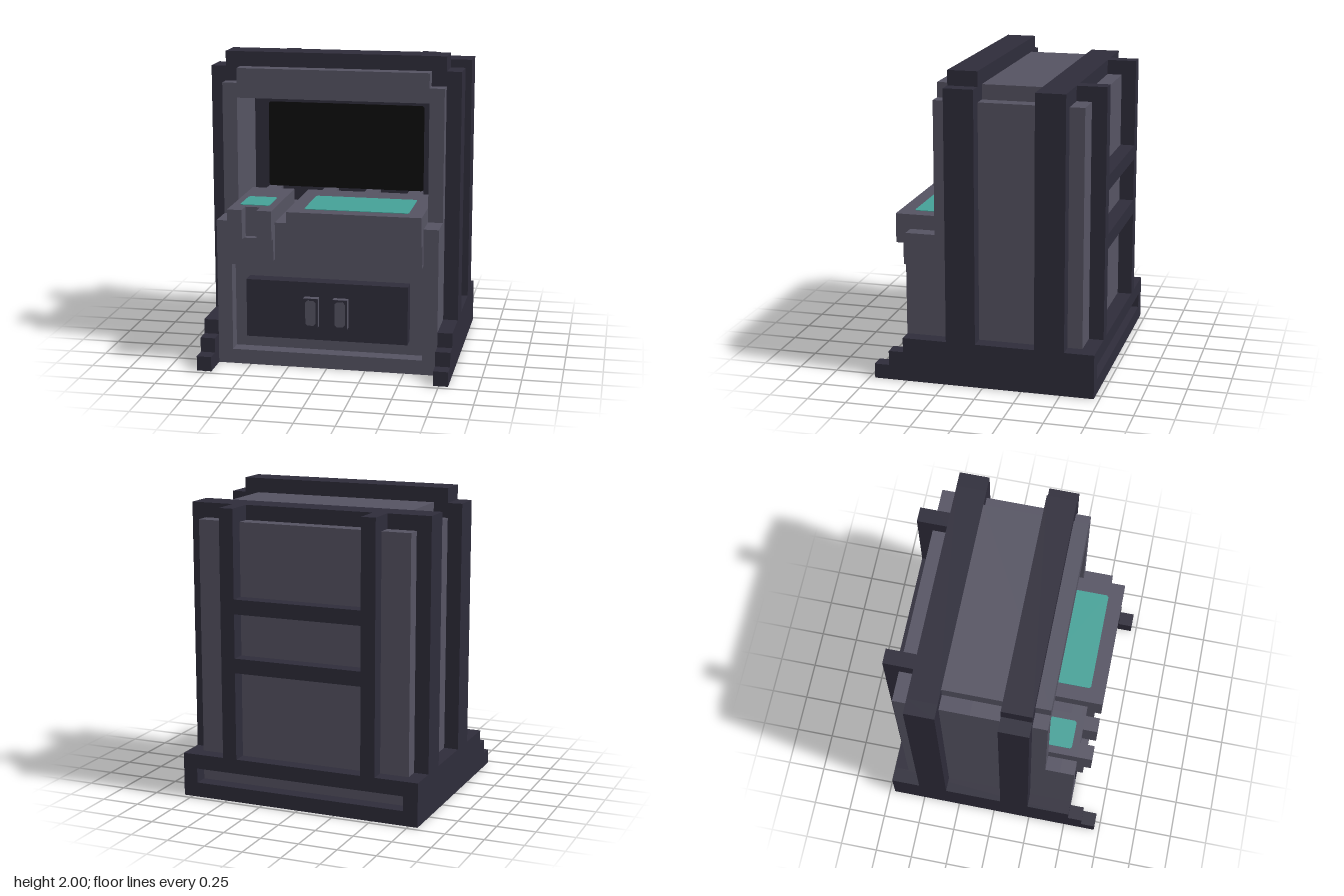
import * as THREE from 'three';

// Grid step: the cabinet is 17 wide, 21 high and 15 deep
const U = 2 / 21;

export function createModel() {
  const model = new THREE.Group();
  model.name = 'consoleCabinet';
  const material = (name, color) => {
    const m = new THREE.MeshStandardMaterial({ color });
    m.name = name;
    return m;
  };
  const grey = material('grey', 0x555362);
  const dark = material('dark', 0x2e2c3a);
  const black = material('black', 0x0d0d0d);
  const teal = material('teal', 0x45a097);

  // Box from its limits in grid steps
  const box = (name, mat, [x0, x1], [y0, y1], [z0, z1]) => {
    const geo = new THREE.BoxGeometry((x1 - x0) * U, (y1 - y0) * U, (z1 - z0) * U);
    geo.translate((x0 + x1) / 2 * U, (y0 + y1) / 2 * U, (z0 + z1) / 2 * U);
    const mesh = new THREE.Mesh(geo, mat);
    mesh.name = name;
    model.add(mesh);
  };
  // The same box on both sides of the middle
  const pair = (name, mat, [x0, x1], y, z) => {
    box(name + 'Left', mat, [x0, x1], y, z);
    box(name + 'Right', mat, [-x1, -x0], y, z);
  };
  // Thin painted plate with clipped corners, facing +z
  const plate = (name, mat, w, h, clip, t) => {
    const a = w / 2, b = h / 2, c = clip;
    const shape = new THREE.Shape([[-a + c, -b], [a - c, -b], [a, -b + c], [a, b - c],
      [a - c, b], [-a + c, b], [-a, b - c], [-a, -b + c]].map(p => new THREE.Vector2(...p)));
    const mesh = new THREE.Mesh(
      new THREE.ExtrudeGeometry(shape, { depth: t, bevelEnabled: false }), mat);
    mesh.name = name;
    model.add(mesh);
    return mesh;
  };

  // Grey body with an open booth above the cabinet
  box('lowerCabinet', grey, [-7.5, 7.5], [0, 10], [-6.5, 4.5]);
  box('backBody', grey, [-7.5, 7.5], [10, 19], [-6.5, -1.5]);
  pair('boothWall', grey, [6.5, 7.5], [10, 19], [-1.5, 3.5]);
  box('roof', grey, [-6.5, 6.5], [18, 20], [-3.5, 3.5]);

  // Front frame around the recessed door
  pair('frontFrameSide', grey, [6.5, 7.5], [0, 10], [4.5, 5.5]);
  box('frontFrameBottom', grey, [-6.5, 6.5], [0, 1], [4.5, 5.5]);
  box('frontFrameTop', grey, [-6.5, 6.5], [7, 10], [4.5, 5.5]);
  box('door', dark, [-5.5, 5.5], [2, 6], [4.5, 5.5]);
  pair('handle', grey, [0.5, 1.5], [3, 5], [5.5, 5.94]);
  for (const s of [-1, 1]) {
    plate('handleBorder', dark, U, 2 * U, 0.001, 0.004).position.set(s * U, 4 * U, 5.94 * U);
    plate('handleFace', grey, 0.066, 0.165, 0.014, 0.003)
      .position.set(s * U, 4 * U, 5.94 * U + 0.003);
  }

  // Screen on the back wall of the booth
  box('screenSurround', dark, [-6.5, 6.5], [10, 18], [-1.5, -1.43]);
  plate('screen', black, 11 * U, 6 * U, 0.012, 0.004).position.set(0, 14 * U, -1.43 * U);

  // Side console with a notch in its front edge
  box('sideConsole', grey, [-6.5, -3.5], [9, 11], [-0.5, 5.5]);
  box('sideConsoleLipOuter', grey, [-6.5, -5.5], [9, 11], [5.5, 6.5]);
  box('sideConsoleLipInner', grey, [-4.5, -3.5], [9, 11], [5.5, 6.5]);
  box('sideConsoleSupport', grey, [-6.5, -3.5], [7.5, 9], [5.5, 6]);
  // Main console
  box('mainConsole', grey, [-2.5, 6.5], [9, 11], [-0.5, 6.5]);
  box('mainConsoleSupport', grey, [-2.5, 6.5], [7.5, 9], [5.5, 6]);
  for (const x of [-5.5, -1.5, 1.5, 4.5])
    box('consoleTab', grey, [x, x + 1], [10, 11], [-1.43, -0.5]);

  // Glowing touch panels
  const touchPanel = (name, x0, x1, z0, z1) => {
    const p = plate(name, teal, (x1 - x0) * U, (z1 - z0) * U, 0.012, 0.004);
    p.rotation.x = -Math.PI / 2;
    p.position.set((x0 + x1) / 2 * U, 11 * U, (z0 + z1) / 2 * U);
  };
  touchPanel('sideTouchPanel', -6, -4, 2.5, 5);
  touchPanel('mainTouchPanel', -1.5, 5.5, 1.5, 5.5);

  // Base rails with stepped toes, and a slotted rear rail
  pair('baseRail', dark, [7.5, 8.5], [0, 3], [-7.5, 5.5]);
  pair('upperToe', dark, [7.5, 8.5], [0, 2], [5.5, 6.5]);
  pair('lowerToe', dark, [7.5, 8.5], [0, 1], [6.5, 7.5]);
  box('rearRailBottom', dark, [-7.5, 7.5], [0, 1], [-7.5, -6.5]);
  box('rearRailTop', dark, [-7.5, 7.5], [2, 3], [-7.5, -6.5]);

  // Two arches over the body
  pair('frontArchPost', dark, [7.5, 8.5], [3, 20], [0.5, 2.5]);
  box('frontArchBeam', dark, [-7.5, 7.5], [19, 21], [0.5, 2.5]);
  pair('rearArchPost', dark, [7.5, 8.5], [3, 20], [-5.5, -3.5]);
  box('rearArchBeam', dark, [-7.5, 7.5], [19, 20], [-5.5, -3.5]);

  // Ladder frame on the back
  pair('backPost', dark, [4.5, 5.5], [3, 20], [-7.5, -6.5]);
  pair('backPostTop', dark, [4.5, 5.5], [19, 20], [-6.5, -5.5]);
  for (const y of [9, 13]) box('backBar', dark, [-4.5, 4.5], [y, y + 1], [-7.5, -6.5]);

  return model;
}
